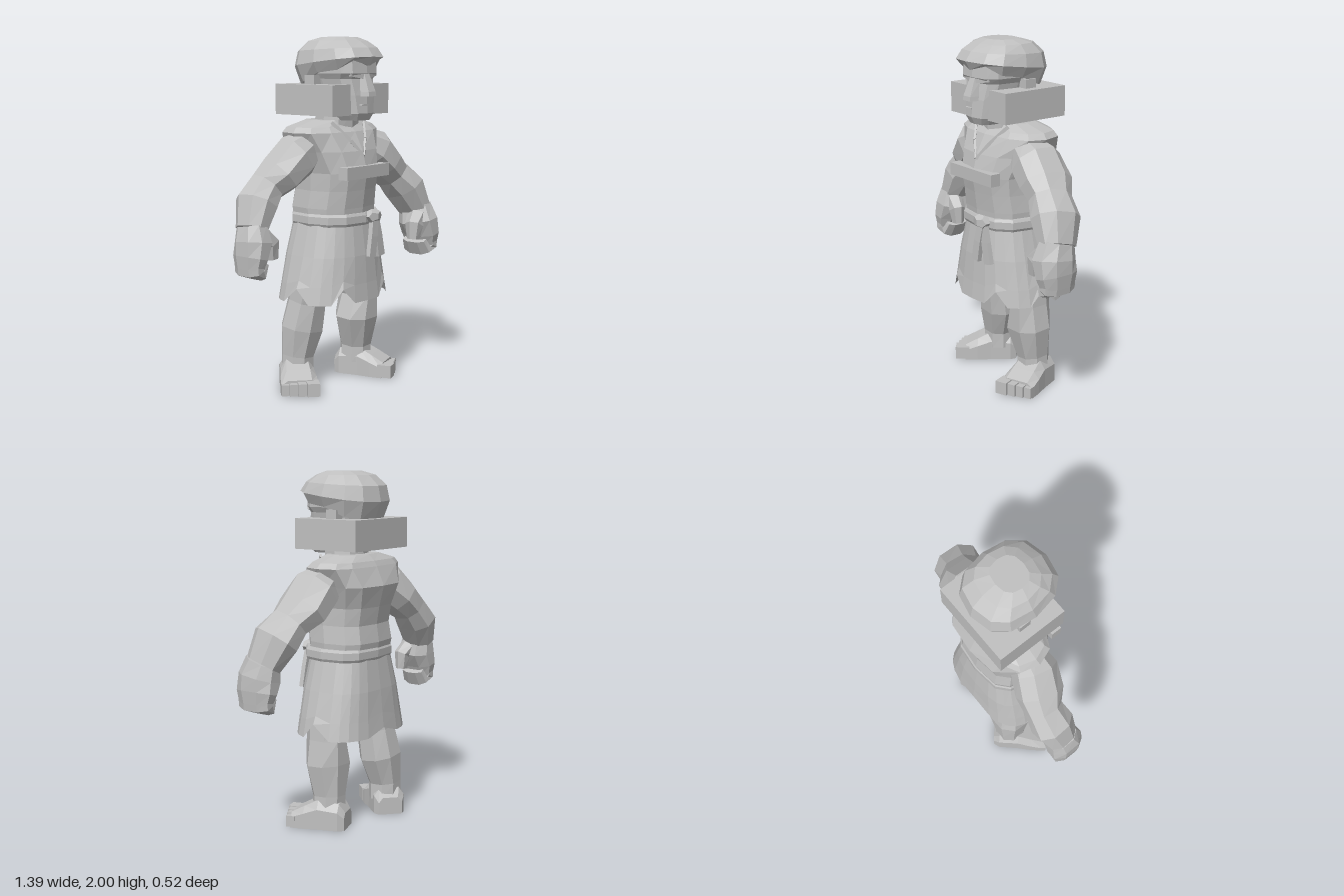
import * as THREE from 'three';

const stone = new THREE.MeshStandardMaterial({ color: 0xc0c0c0, flatShading: true, side: THREE.DoubleSide });
stone.name = 'light grey';
const V = (x, y, z) => new THREE.Vector3(x, y, z);
const soft = (v, p) => Math.sign(v) * Math.pow(Math.abs(v), p);

function add(group, name, geometry) {
  const mesh = new THREE.Mesh(geometry, stone);
  mesh.name = name;
  group.add(mesh);
  return mesh;
}

function box(group, name, x0, x1, y0, y1, z0, z1) {
  const mesh = add(group, name, new THREE.BoxGeometry(x1 - x0, y1 - y0, z1 - z0));
  mesh.position.set((x0 + x1) / 2, (y0 + y1) / 2, (z0 + z1) / 2);
  return mesh;
}

// Skin a list of equal-sized rings, optionally capping both ends
function loft(rings, capStart = true, capEnd = true) {
  const pos = [], n = rings[0].length;
  const tri = (...pts) => pts.forEach(p => pos.push(p.x, p.y, p.z));
  for (let k = 0; k < rings.length - 1; k++) {
    for (let i = 0; i < n; i++) {
      const j = (i + 1) % n, a = rings[k], b = rings[k + 1];
      tri(a[i], a[j], b[j]);
      tri(a[i], b[j], b[i]);
    }
  }
  const cap = (r, flip) => {
    const c = r.reduce((s, p) => s.add(p), V(0, 0, 0)).divideScalar(n);
    r.forEach((p, i) => flip ? tri(c, r[(i + 1) % n], p) : tri(c, p, r[(i + 1) % n]));
  };
  if (capStart) cap(rings[0], true);
  if (capEnd) cap(rings[rings.length - 1], false);
  const g = new THREE.BufferGeometry();
  g.setAttribute('position', new THREE.Float32BufferAttribute(pos, 3));
  g.computeVertexNormals();
  return g;
}

// Horizontal section: height, half width, front z, back z, centre x.
// pf and pb set how square the front and back corners are.
function ring([y, rx, front, back, cx = 0], n, pf, pb = pf) {
  return Array.from({ length: n }, (_, i) => {
    const a = i / n * Math.PI * 2, p = Math.cos(a) > 0 ? pf : pb;
    return V(cx + rx * soft(Math.sin(a), p), y,
      (front + back) / 2 + (front - back) / 2 * soft(Math.cos(a), p));
  });
}
const stack = (rows, n, pf, pb) => loft(rows.map(r => ring(r, n, pf, pb)));

// Tube along a path of [x, y, z, depth radius, width radius]
function limb(path, n = 8, p = 0.9) {
  const pts = path.map(q => V(q[0], q[1], q[2]));
  return loft(path.map((q, k) => {
    const t = pts[Math.min(k + 1, pts.length - 1)].clone().sub(pts[Math.max(k - 1, 0)]).normalize();
    const u = V(0, 0, 1).addScaledVector(t, -t.z).normalize();
    const v = t.clone().cross(u);
    return Array.from({ length: n }, (_, i) => {
      const a = (i + 0.5) / n * Math.PI * 2;
      return pts[k].clone().addScaledVector(u, q[3] * soft(Math.cos(a), p) * 1.06)
        .addScaledVector(v, q[4] * soft(Math.sin(a), p) * 1.06);
    });
  }));
}

// Straight strip between two points
function strip(group, name, a, b, w, d) {
  const mesh = add(group, name, new THREE.BoxGeometry(w, d, a.distanceTo(b)));
  mesh.position.copy(a).add(b).multiplyScalar(0.5);
  mesh.lookAt(b);
  return mesh;
}

function buildHead(g) {
  add(g, 'head', stack([
    [1.54, 0.08, 0.205, -0.05], [1.58, 0.107, 0.224, -0.1], [1.68, 0.125, 0.217, -0.15],
    [1.77, 0.145, 0.2, -0.18], [1.8, 0.16, 0.22, -0.18], [1.9, 0.16, 0.21, -0.17]], 12, 0.6));
  add(g, 'neck', stack([[1.44, 0.13, 0.11, -0.12], [1.6, 0.11, 0.12, -0.11]], 8, 0.8));
  // Hair with a tilted rim, scalloped over the brow and ears
  const rows = [[1.8, 0.15, 0.2, -0.165], [1.79, 0.19, 0.235, -0.195], [1.86, 0.22, 0.262, -0.232],
    [1.93, 0.2, 0.225, -0.215], [1.978, 0.16, 0.165, -0.15], [2.0, 0.1, 0.11, -0.07]];
  const rings = rows.map(r => ring(r, 12, 0.8));
  const rim = [0, 0.035, 0, 0.01, -0.015, -0.02, -0.01];
  rings.forEach((r, k) => r.forEach((p, i) => {
    p.y += p.z * [0.22, 0.22, 0.12, 0.05, 0, 0][k];
    if (k < 2) p.y += rim[Math.min(i, 12 - i)];
  }));
  add(g, 'hair', loft(rings));
  // Wedge nose, brows, ears and mouth
  const noseRing = (y, w, z) => [V(-w, y, 0.17), V(-w * 0.6, y, z), V(w * 0.6, y, z), V(w, y, 0.17)];
  add(g, 'nose', loft([noseRing(1.675, 0.055, 0.258), noseRing(1.7, 0.052, 0.255), noseRing(1.8, 0.035, 0.215)]));
  for (const s of [-1, 1]) {
    strip(g, 'brow', V(s * 0.02, 1.785, 0.2), V(s * 0.11, 1.8, 0.18), 0.03, 0.03);
    box(g, 'ear', s * 0.165 - 0.03, s * 0.165 + 0.03, 1.7, 1.79, -0.07, 0.0);
  }
  box(g, 'mouth', -0.055, 0.0, 1.622, 1.632, 0.2, 0.228);
}

function buildTunic(g) {
  add(g, 'tunicTop', stack([
    [1.0, 0.232, 0.188, -0.215], [1.05, 0.236, 0.192, -0.224], [1.15, 0.226, 0.205, -0.208], [1.25, 0.228, 0.222, -0.225],
    [1.37, 0.272, 0.19, -0.256], [1.475, 0.328, 0.135, -0.208], [1.505, 0.3, 0.105, -0.19],
    [1.54, 0.165, 0.08, -0.15]], 12, 0.82, 0.65));
  for (const s of [-1, 1]) {
    strip(g, 'neckline', V(s * 0.004, 1.34, 0.195), V(s * 0.065, 1.43, 0.155), 0.012, 0.02);
    strip(g, 'neckline', V(s * 0.065, 1.43, 0.155), V(s * 0.14, 1.53, 0.08), 0.012, 0.02);
  }
  box(g, 'chestBar', -0.19, 0.185, 1.22, 1.29, 0.17, 0.235);
  // Skirt with a notched hem that folds inward
  const rows = [[0.56, 0.305, 0.205, -0.23], [0.52, 0.335, 0.232, -0.26], [0.62, 0.315, 0.222, -0.25],
    [0.78, 0.278, 0.212, -0.238], [0.97, 0.228, 0.185, -0.212]];
  const rings = rows.map(r => ring(r, 24, 0.85, 0.65));
  for (const i of [2, 6, 12, 18, 22]) {
    const lift = i === 12 ? 0.04 : 0.085;
    rings[0][i].y += lift;
    rings[1][i].y += lift;
    rings[2][i].y += 0.03;
  }
  add(g, 'skirt', loft(rings, false, true));
}

function buildBelt(g) {
  add(g, 'belt', stack([[0.95, 0.242, 0.2, -0.217, 0.008], [0.965, 0.25, 0.208, -0.225, 0.008],
    [1.005, 0.25, 0.208, -0.225, 0.008], [1.02, 0.242, 0.2, -0.216, 0.008]], 12, 0.82, 0.65));
  const knot = add(g, 'beltKnot', new THREE.DodecahedronGeometry(0.05));
  knot.position.set(0.07, 0.995, 0.212);
  knot.scale.set(1.25, 0.85, 0.8);
  add(g, 'beltTail', limb([[0.075, 0.98, 0.215, 0.018, 0.032], [0.055, 0.88, 0.222, 0.018, 0.034], [0.035, 0.765, 0.224, 0.018, 0.036]], 4));
  add(g, 'beltTail', limb([[0.085, 0.98, 0.21, 0.018, 0.032], [0.11, 0.88, 0.212, 0.018, 0.034], [0.135, 0.76, 0.212, 0.018, 0.036]], 4));
}

// Arm and curled hand; z values and depth differ from side to side
function buildArm(g, s, z, depth) {
  const arm = new THREE.Group();
  arm.name = s > 0 ? 'leftArm' : 'rightArm';
  g.add(arm);
  const part = (name, path, n) => add(arm, name, limb(path.map(q => [s * q[0], q[1], q[2], q[3] * depth, q[4]]), n));
  const h = z[6];
  part('arm', [[0.2, 1.4, z[0], 0.1, 0.09], [0.29, 1.35, z[1], 0.14, 0.12], [0.39, 1.255, z[2], 0.148, 0.104],
    [0.46, 1.19, z[3], 0.116, 0.09], [0.54, 1.105, z[4], 0.135, 0.102], [0.602, 0.97, z[5], 0.105, 0.072]]);
  part('palm', [[0.602, 0.99, z[5], 0.1, 0.068], [0.605, 0.9, h, 0.12, 0.09],
    [0.63, 0.82, h, 0.12, 0.068], [0.64, 0.755, h, 0.1, 0.05]]);
  part('fingers', [[0.642, 0.81, h, 0.105, 0.05], [0.638, 0.745, h, 0.105, 0.05],
    [0.605, 0.725, h, 0.095, 0.04], [0.57, 0.785, h, 0.08, 0.03]]);
  part('thumb', [[0.575, 0.935, h + 0.02, 0.06, 0.06], [0.51, 0.885, h + 0.04, 0.05, 0.05],
    [0.503, 0.8, h + 0.04, 0.035, 0.034]], 6);
}

// Leg path runs upward from the ankle; the foot turns outward
function buildLeg(g, s, path, foot, turn) {
  const leg = new THREE.Group();
  leg.name = s > 0 ? 'leftLeg' : 'rightLeg';
  g.add(leg);
  add(leg, 'leg', limb(path));
  const base = new THREE.Group();
  base.name = 'foot';
  base.position.set(foot[0], 0, foot[1]);
  base.rotation.y = turn;
  leg.add(base);
  // Foot sections: z, half width, height
  const rows = [[-0.185, 0.07, 0.1], [-0.15, 0.09, 0.15], [-0.03, 0.095, 0.165], [0.05, 0.104, 0.125], [0.125, 0.106, 0.085]];
  add(base, 'sole', loft(rows.map(([z, w, h]) => [
    V(-w, 0, z), V(w, 0, z), V(w, h * 0.7, z), V(w * 0.65, h, z), V(-w * 0.65, h, z), V(-w, h * 0.7, z)])));
  let x = -0.106;
  [0.07, 0.047, 0.044, 0.042].forEach((w, i) => {
    const edge = s > 0 ? x : -x - w;
    box(base, 'toe', edge, edge + w, 0.005, 0.08 - i * 0.004, 0.1, 0.185 - i * 0.012);
    x += w + 0.003;
  });
}

export function createModel() {
  const model = new THREE.Group();
  model.name = 'figure';
  buildHead(model);
  box(model, 'neckBlock', -0.25, 0.245, 1.57, 1.74, -0.24, 0.18);
  buildTunic(model);
  buildBelt(model);
  buildArm(model, 1, [0, 0.005, 0.015, 0.045, 0.075, 0.115, 0.14], 1);
  buildArm(model, -1, [-0.03, -0.045, -0.085, -0.115, -0.115, -0.095, -0.08], 0.86);
  buildLeg(model, 1, [[0.225, 0.08, -0.04, 0.088, 0.088], [0.225, 0.18, -0.04, 0.088, 0.084],
    [0.207, 0.36, -0.02, 0.115, 0.127], [0.22, 0.5, -0.018, 0.112, 0.09],
    [0.19, 0.64, -0.015, 0.12, 0.11], [0.12, 0.88, -0.02, 0.12, 0.1]], [0.258, 0.022], 0.33);
  buildLeg(model, -1, [[-0.2, 0.08, -0.13, 0.088, 0.088], [-0.2, 0.18, -0.13, 0.09, 0.086],
    [-0.175, 0.34, -0.115, 0.112, 0.12], [-0.16, 0.5, -0.09, 0.105, 0.104],
    [-0.15, 0.64, -0.06, 0.12, 0.11], [-0.12, 0.88, -0.02, 0.12, 0.1]], [-0.262, -0.075], -0.72);
  return model;
}
